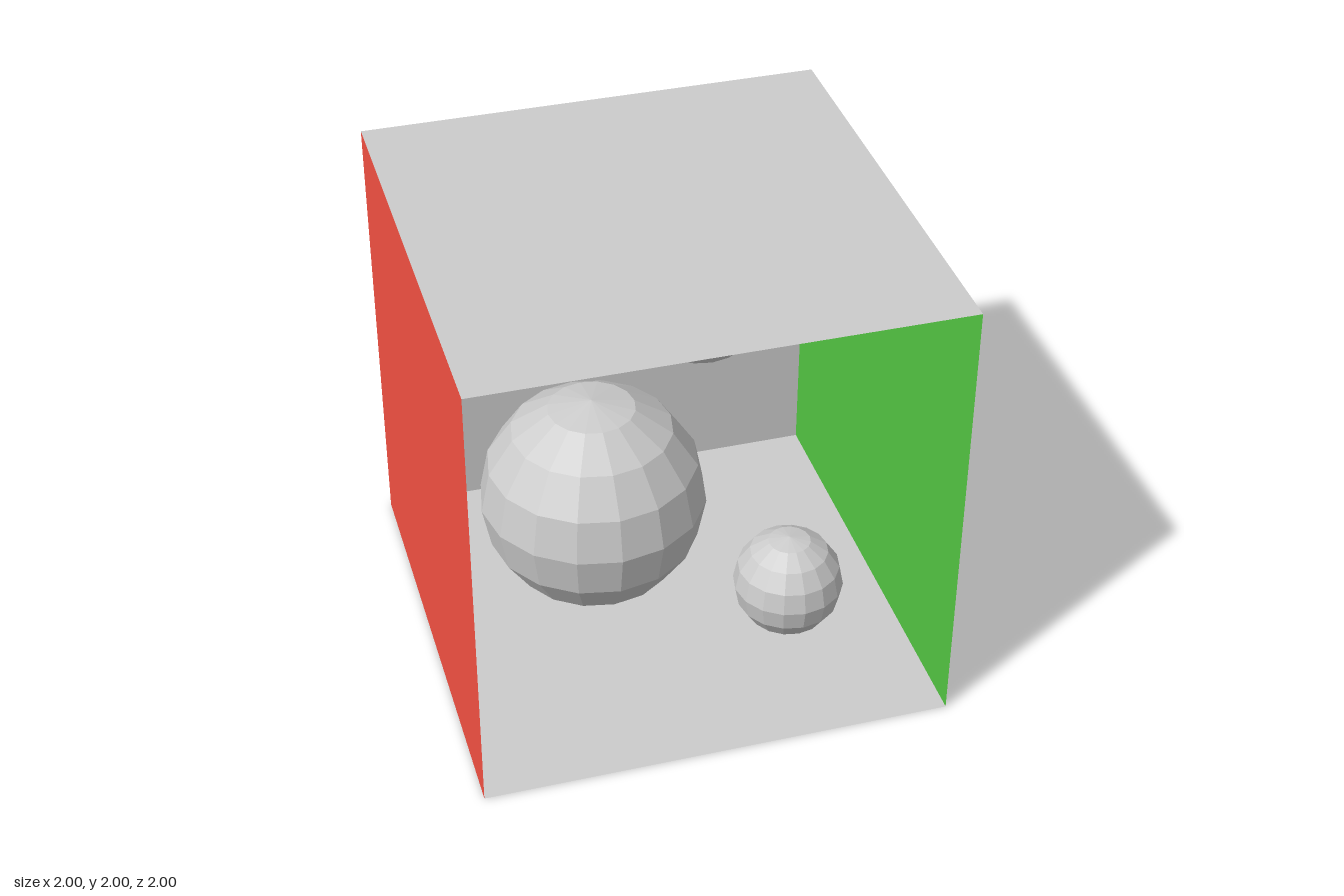
import * as THREE from 'three';

const material = (color, options = {}) => new THREE.MeshStandardMaterial({ color, ...options });

export function createModel() {
  const model = new THREE.Group();
  model.name = 'openBoxWithSpheres';

  // Thin walls of the box, open at the front
  const panel = new THREE.PlaneGeometry(2, 2);
  const grey = material(0xcccccc, { side: THREE.DoubleSide });
  const red = material(0xf85243, { side: THREE.DoubleSide });
  const green = material(0x55c844, { side: THREE.DoubleSide });
  const q = Math.PI / 2;
  const walls = [
    ['floor', grey, [0, 0, 0], [-q, 0, 0]],
    ['ceiling', grey, [0, 2, 0], [q, 0, 0]],
    ['backWall', grey, [0, 1, -1], [0, 0, 0]],
    ['leftWall', green, [1, 1, 0], [0, -q, 0]],
    ['rightWall', red, [-1, 1, 0], [0, q, 0]],
  ];
  for (const [name, mat, position, rotation] of walls) {
    const wall = new THREE.Mesh(panel, mat);
    wall.name = name;
    wall.position.set(...position);
    wall.rotation.set(...rotation);
    model.add(wall);
  }

  // Faceted spheres: two on the floor, one floating
  const faceted = material(0xcccccc, { flatShading: true });
  const spheres = [
    ['largeSphere', 0.5, [-0.22, 0.5, -0.21]],
    ['smallSphere', 0.24, [0.52, 0.245, 0.3]],
    ['floatingSphere', 0.295, [0.36, 1.205, -0.55]],
  ];
  for (const [name, radius, position] of spheres) {
    const sphere = new THREE.Mesh(new THREE.SphereGeometry(radius, 16, 8), faceted);
    sphere.name = name;
    sphere.position.set(...position);
    model.add(sphere);
  }

  return model;
}
